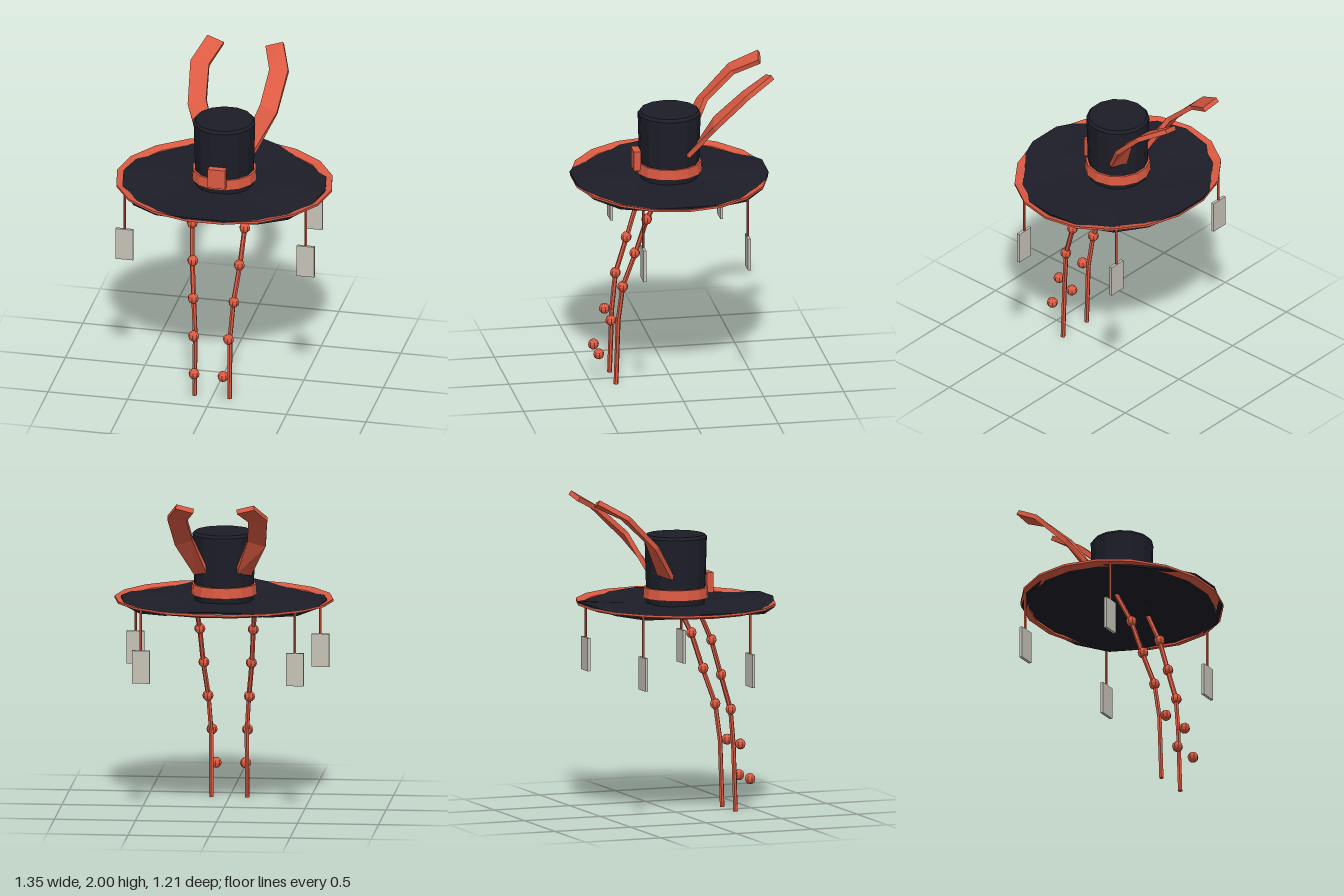
import * as THREE from 'three';

const mat = (color) => new THREE.MeshStandardMaterial({ color, flatShading: true, side: THREE.DoubleSide });
const navy = mat(0x1c1d27), red = mat(0xdc5a42), paper = mat(0xc6c3b7);
const V = (x, y, z) => new THREE.Vector3(x, y, z);

function add(parent, name, geometry, material, x = 0, y = 0, z = 0) {
  const mesh = new THREE.Mesh(geometry, material);
  mesh.name = name;
  mesh.position.set(x, y, z);
  parent.add(mesh);
  return mesh;
}

// Straight rod between two points
function rod(parent, name, a, b, radius, sides = 6) {
  const mesh = add(parent, name, new THREE.CylinderGeometry(radius, radius, a.distanceTo(b), sides), red);
  mesh.position.copy(a).add(b).multiplyScalar(0.5);
  mesh.quaternion.setFromUnitVectors(V(0, 1, 0), b.clone().sub(a).normalize());
}

// Elliptical lathe whose height follows a rule of radius and angle
function oval(profile, sx, sz, lift) {
  const pts = profile.map(([r, y]) => new THREE.Vector2(r, y));
  const geo = new THREE.LatheGeometry(pts, 18, Math.PI / 2);
  const p = geo.attributes.position;
  for (let i = 0; i < p.count; i++) {
    const x = p.getX(i), z = p.getZ(i);
    p.setXYZ(i, x * sx, p.getY(i) + lift(Math.hypot(x, z), Math.atan2(z, x)), z * sz);
  }
  geo.computeVertexNormals();
  return geo;
}

// Flat band lofted through [outer, inner] edge pairs with a given thickness
function band(pairs, thickness) {
  const pos = [], index = [];
  pairs.forEach(([o, n], i) => {
    const mid = (k) => pairs[k][0].clone().add(pairs[k][1]).multiplyScalar(0.5);
    const along = mid(Math.min(i + 1, pairs.length - 1)).sub(mid(Math.max(i - 1, 0)));
    const off = n.clone().sub(o).cross(along).normalize().multiplyScalar(thickness / 2);
    [o.clone().add(off), n.clone().add(off), n.clone().sub(off), o.clone().sub(off)]
      .forEach((v) => pos.push(v.x, v.y, v.z));
    if (i) for (let k = 0; k < 4; k++) {
      const a = (i - 1) * 4 + k, b = (i - 1) * 4 + (k + 1) % 4;
      index.push(a, b, b + 4, a, b + 4, a + 4);
    }
  });
  const e = (pairs.length - 1) * 4;
  index.push(0, 2, 1, 0, 3, 2, e, e + 1, e + 2, e, e + 2, e + 3);
  const geo = new THREE.BufferGeometry();
  geo.setAttribute('position', new THREE.Float32BufferAttribute(pos, 3));
  geo.setIndex(index);
  geo.computeVertexNormals();
  return geo;
}

export function createModel() {
  const model = new THREE.Group();
  model.name = 'hat';

  // Gently waved brim, with a trim that shows along its sides
  const wave = (r, t) => 1.285 + r * r * (0.013 + 0.018 * Math.cos(4 * t) - 0.008 * Math.cos(2 * t));
  add(model, 'brim', oval([[0, -0.008], [0.4, -0.008], [0.75, -0.008], [1, -0.006], [1, 0.006],
    [0.75, 0.01], [0.4, 0.014], [0, 0.014]], 0.635, 0.61, wave), navy);
  add(model, 'brimTrim', oval([[0.92, 1.282], [1, 1.298], [1, 1.312], [0.92, 1.296], [0.92, 1.282]],
    0.675, 0.607, () => 0), red);

  // Crown with a small top bevel
  const crown = [[0, 1.28], [0.18, 1.28], [0.185, 1.4], [0.194, 1.71], [0.18, 1.727], [0, 1.727]];
  add(model, 'crown', new THREE.LatheGeometry(
    crown.map(([r, y]) => new THREE.Vector2(r, y)), 14, Math.PI / 2), navy);

  // Hat band and buckle
  add(model, 'hatBand', new THREE.CylinderGeometry(0.198, 0.203, 0.065, 14, 1, false, Math.PI / 2), red, 0, 1.368, 0);
  add(model, 'buckle', new THREE.BoxGeometry(0.11, 0.125, 0.045), red, 0, 1.422, 0.207);

  for (const s of [1, -1]) {
    const side = s > 0 ? 'left' : 'right';

    // Stiff bow loops rising behind the crown
    const loop = [
      [V(s * 0.17, 1.475, -0.085), V(s * 0.09, 1.5, -0.15)],
      [V(s * 0.28, 1.685, -0.235), V(s * 0.17, 1.72, -0.26)],
      [V(s * 0.308, 1.885, -0.435), V(s * 0.19, 1.875, -0.43)],
      [V(s * 0.24, 1.985, -0.605), V(s * 0.133, 1.955, -0.588)],
    ];
    // Swap edges on the mirrored side so that faces still point outwards
    add(model, side + 'BowTail', band(s > 0 ? loop : loop.map(([o, n]) => [n, o]), 0.03), red);

    // Hanging chin cord
    const cord = [V(s * 0.187, 1.29, 0.07), V(s * 0.165, 1.08, 0.17), V(s * 0.15, 0.86, 0.238),
      V(s * 0.125, 0.64, 0.312), V(s * 0.11, 0.415, 0.338), V(s * 0.11, 0, 0.352)];
    for (let i = 1; i < cord.length; i++) rod(model, side + 'Cord', cord[i - 1], cord[i], 0.015);

    // Beads falling in an even line
    for (let i = 0; i < 5; i++) {
      add(model, side + 'Bead', new THREE.SphereGeometry(0.034, 8, 6), red,
        s * (0.165 - 0.0185 * i), 1.083 - 0.222 * i, 0.17 + 0.0715 * i);
    }

    // Paper tags on strings under the brim
    for (const [x, z] of [[0.57, 0.265], [0.475, -0.405]]) {
      rod(model, side + 'TagString', V(s * x, 1.3, z), V(s * x, 1.045, z), 0.008);
      add(model, side + 'Tag', new THREE.BoxGeometry(0.11, 0.205, 0.018), paper, s * x, 0.942, z);
    }
  }
  return model;
}
